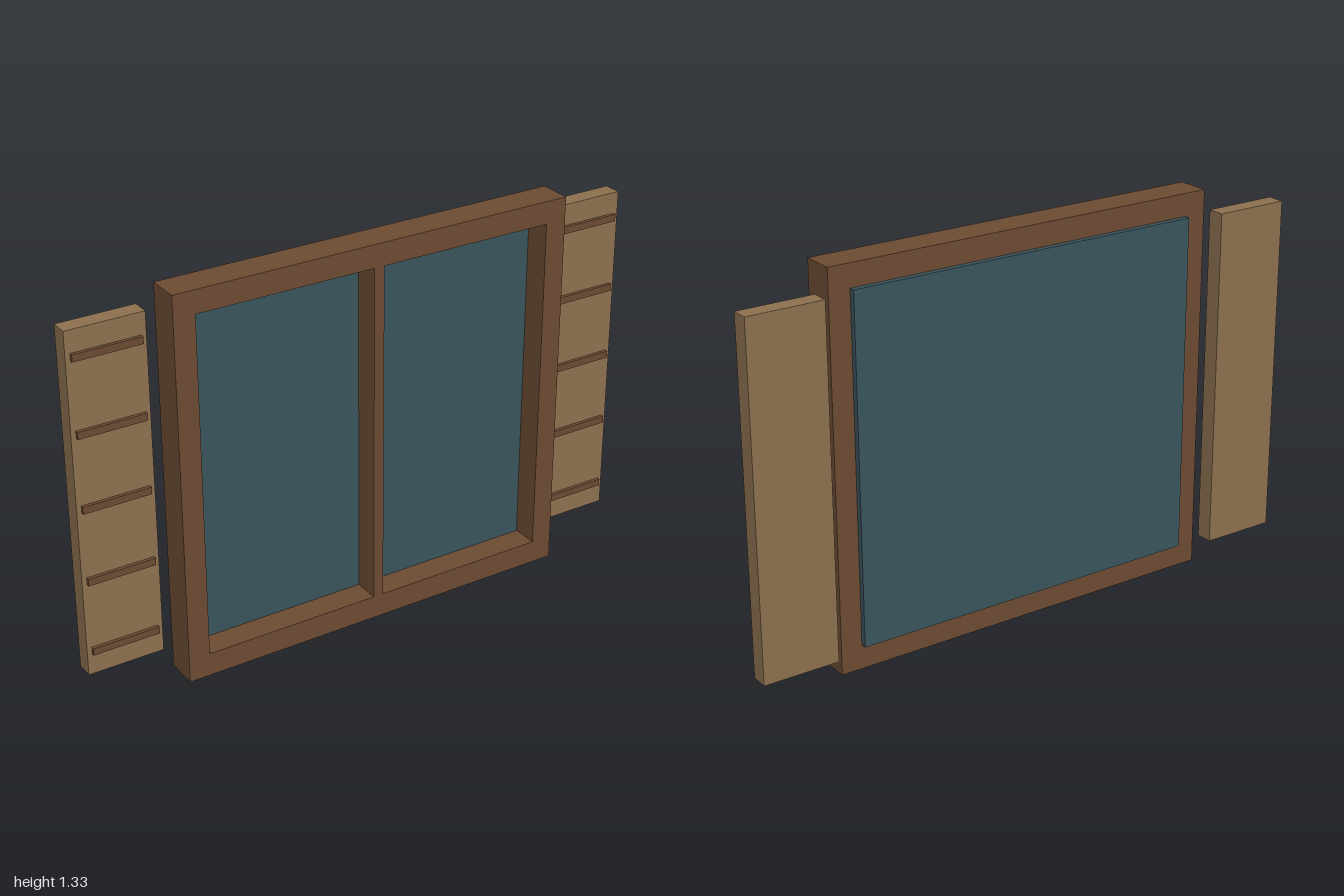
import * as THREE from 'three';

const material = (color) => new THREE.MeshStandardMaterial({ color });

export function createModel() {
  const group = new THREE.Group();
  group.name = 'shutteredWindow';
  const darkWood = material(0x6b4a32);
  const lightWood = material(0x8b6f4e);
  const glass = material(0x39535c);

  // Box given by its minimum and maximum corners
  function box(name, mat, [x0, y0, z0], [x1, y1, z1], parent = group) {
    const mesh = new THREE.Mesh(new THREE.BoxGeometry(x1 - x0, y1 - y0, z1 - z0), mat);
    mesh.position.set((x0 + x1) / 2, (y0 + y1) / 2, (z0 + z1) / 2);
    mesh.name = name;
    parent.add(mesh);
  }

  const rectangle = (Type, x, y0, y1) => new Type([
    new THREE.Vector2(-x, y0), new THREE.Vector2(x, y0),
    new THREE.Vector2(x, y1), new THREE.Vector2(-x, y1),
  ]);

  // Outer frame with one large opening
  const outline = rectangle(THREE.Shape, 0.703, 0, 1.327);
  outline.holes.push(rectangle(THREE.Path, 0.63, 0.08, 1.25));
  const frame = new THREE.Mesh(
    new THREE.ExtrudeGeometry(outline, { depth: 0.113, bevelEnabled: false }), darkWood);
  frame.position.z = -0.033;
  frame.name = 'frame';
  group.add(frame);

  // Centre bar and the pane behind it
  box('mullion', darkWood, [-0.018, 0.08, -0.02], [0.018, 1.25, 0.08]);
  box('pane', glass, [-0.628, 0.081, -0.05], [0.628, 1.249, -0.01]);

  // Open shutters with five slats each
  for (const side of [-1, 1]) {
    const shutter = new THREE.Group();
    shutter.name = side > 0 ? 'leftShutter' : 'rightShutter';
    shutter.position.x = side * 0.87;
    box('panel', lightWood, [-0.13, 0.08, -0.08], [0.13, 1.25, -0.02], shutter);
    for (let i = 0; i < 5; i++) {
      const y = 0.165 + i * 0.25;
      box('slat', darkWood, [-0.114, y - 0.012, -0.03], [0.114, y + 0.012, -0.008], shutter);
    }
    group.add(shutter);
  }
  return group;
}
